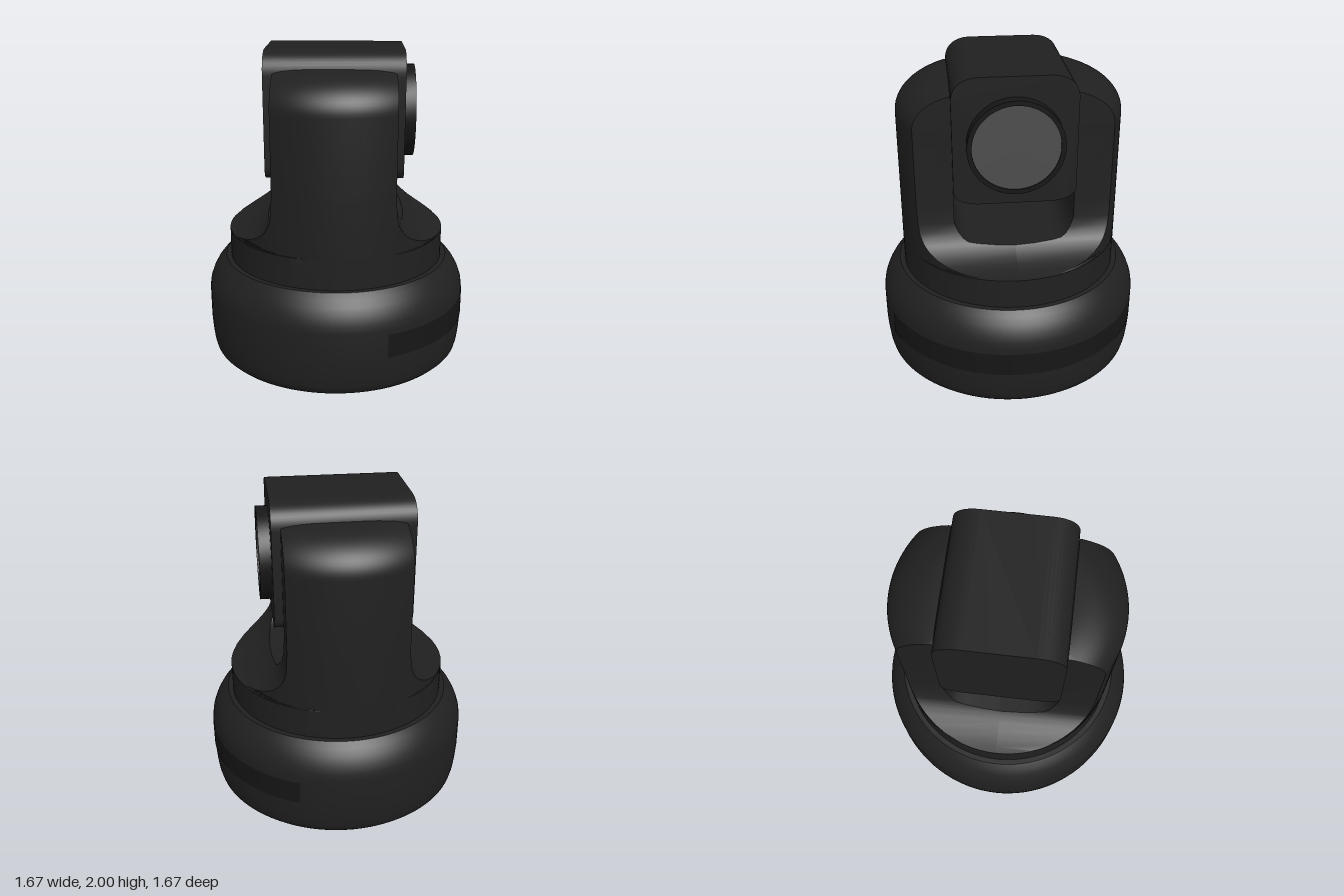
import * as THREE from 'three';
import { toCreasedNormals } from 'three/addons/utils/BufferGeometryUtils.js';

const paint = (color) => new THREE.MeshStandardMaterial({ color });

// One half of the yoke: stacked sections [y, outer radius, half width, inner z].
function yokeHalfGeometry() {
  const R = 0.69;
  const rows = [
    [0.64, R, R, 0], [0.845, R, R, 0], [0.85, R, 0.65, 0], [0.86, R, 0.6, 0],
    [0.875, R, 0.55, 0], [0.895, R, 0.5, 0], [0.92, R, 0.46, 0], [0.94, R, 0.435, 0],
    [0.945, R, 0.43, 0.12], [0.955, R, 0.42, 0.23], [0.965, R, 0.412, 0.285],
    [0.985, R, 0.4, 0.315], [1.02, R, 0.382, 0.342], [1.08, R, 0.37, 0.365],
    [1.2, R, 0.362, 0.365],
  ];
  // domed top
  for (let i = 0; i <= 16; i++) {
    const t = (i / 16) * Math.PI / 2;
    rows.push([1.68 + 0.22 * Math.sin(t), 0.38 + 0.31 * Math.cos(t), 0.362, 0.365]);
  }
  const arc = 40, n = arc + 3;
  const pos = [], index = [];
  rows.forEach(([y, r, width, zi], j) => {
    const w = Math.min(width, Math.sqrt(r * r - zi * zi));
    const a = Math.asin(Math.min(1, w / r));
    for (let i = 0; i <= arc; i++) {
      const t = a * (2 * i / arc - 1);
      pos.push(r * Math.sin(t), y, Math.max(zi, r * Math.cos(t)));
    }
    pos.push(w, y, zi, -w, y, zi);
    if (j === 0) return;
    for (let i = 0; i < n; i++) {
      // the halves meet at z = 0, so no wall is needed there
      if (i === arc + 1 && zi === 0) continue;
      const p = (j - 1) * n + i, q = (j - 1) * n + (i + 1) % n;
      index.push(p, q, q + n, p, q + n, p + n);
    }
  });
  // top cap
  const top = (rows.length - 1) * n;
  for (let i = 1; i < n - 1; i++) index.push(top, top + i, top + i + 1);
  const g = new THREE.BufferGeometry();
  g.setAttribute('position', new THREE.Float32BufferAttribute(pos, 3));
  g.setIndex(index);
  return toCreasedNormals(g, 0.5);
}

// Rounded head profile, extruded along x.
function headGeometry() {
  const w = 0.365, c = 0.2, y0 = 1.22, y1 = 2;
  const s = new THREE.Shape();
  s.moveTo(-c, y0);
  s.lineTo(c, y0);
  s.bezierCurveTo(0.3, y0, w, 1.25, w, 1.31);
  s.lineTo(w, 1.86);
  s.bezierCurveTo(w, 1.95, 0.3, y1, c, y1);
  s.lineTo(-c, y1);
  s.bezierCurveTo(-0.3, y1, -w, 1.95, -w, 1.86);
  s.lineTo(-w, 1.31);
  s.bezierCurveTo(-w, 1.25, -0.3, y0, -c, y0);
  const g = new THREE.ExtrudeGeometry(s, { depth: 0.835, bevelEnabled: false, curveSegments: 12 });
  g.translate(0, 0, -0.42);
  g.rotateY(Math.PI / 2);
  return toCreasedNormals(g, 0.5);
}

const lathe = (points, segments) => toCreasedNormals(
  new THREE.LatheGeometry(points.map(([x, y]) => new THREE.Vector2(x, y)), segments), 0.6);

export function createModel() {
  const model = new THREE.Group();
  const housing = paint(0x202020), dark = paint(0x161616), glass = paint(0x4d4d4d);
  const add = (name, geometry, material) => {
    const mesh = new THREE.Mesh(geometry, material);
    mesh.name = name;
    model.add(mesh);
    return mesh;
  };

  // round base with a softly domed underside
  add('base', lathe([
    [0, 0], [0.4, 0.008], [0.65, 0.018], [0.75, 0.027], [0.79, 0.038], [0.812, 0.06],
    [0.822, 0.1], [0.83, 0.17], [0.835, 0.25], [0.835, 0.45], [0.828, 0.495], [0.81, 0.545],
    [0.785, 0.59], [0.755, 0.628], [0.722, 0.66], [0, 0.66],
  ], 96), housing);

  // dark window band around the lens side of the base
  const half = 1.176;
  const band = add('sensorWindow', new THREE.CylinderGeometry(
    0.838, 0.838, 0.15, 64, 1, true, Math.PI / 2 - half, 2 * half), dark);
  band.material.side = THREE.DoubleSide;
  band.position.y = 0.345;

  // turning yoke, two mirrored halves
  const yoke = yokeHalfGeometry();
  add('yokeFrontArm', yoke, housing);
  add('yokeBackArm', yoke, housing).rotation.y = Math.PI;

  // tilting head held between the arms
  add('cameraHead', headGeometry(), housing);

  // lens ring and glass, facing +x
  const ring = add('lensRing', lathe([
    [0.285, 0], [0.285, 0.075], [0.257, 0.075], [0.257, 0.06],
  ], 64), dark);
  const lens = add('lensGlass', new THREE.CylinderGeometry(0.257, 0.257, 0.055, 64), glass);
  ring.rotation.z = lens.rotation.z = -Math.PI / 2;
  ring.position.set(0.41, 1.597, 0);
  lens.position.set(0.45, 1.597, 0);

  return model;
}
